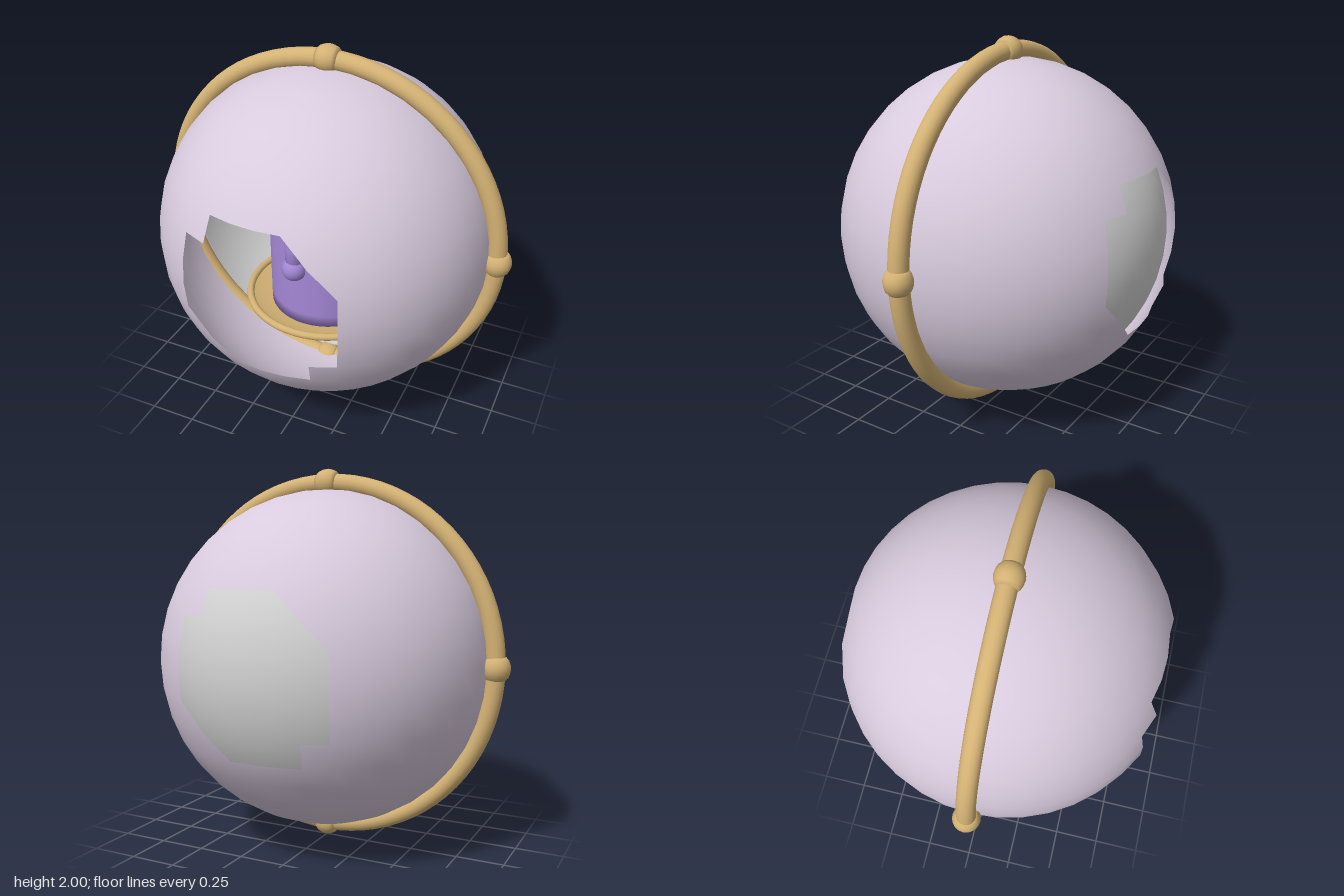
import * as THREE from 'three';

const mat = (name, color, side = THREE.FrontSide) => {
  const m = new THREE.MeshStandardMaterial({ color, side });
  m.name = name;
  return m;
};
const lathe = (points, segments = 40) =>
  new THREE.LatheGeometry(points.map(([r, y]) => new THREE.Vector2(r, y)), segments);

// Sphere with a ragged window left open at the front and at the back
function windowedSphere(radius, windowRadius) {
  const geo = new THREE.SphereGeometry(radius, 40, 20);
  const pos = geo.attributes.position, old = geo.index.array, kept = [];
  for (let i = 0; i < old.length; i += 3) {
    const tri = [old[i], old[i + 1], old[i + 2]];
    const cx = tri.reduce((s, v) => s + pos.getX(v), 0) / 3;
    const cy = tri.reduce((s, v) => s + pos.getY(v), 0) / 3;
    if (Math.hypot(cx, cy) > windowRadius) kept.push(...tri);
  }
  geo.setIndex(kept);
  return geo;
}

export function createModel() {
  const lavender = mat('lavender shell', 0xd8cbde, THREE.DoubleSide);
  const grey = mat('pale grey reflector', 0xd2d2d2, THREE.DoubleSide);
  const gold = mat('warm gold', 0xd4b274);
  const goldOpen = mat('dish gold', 0xd4b274, THREE.DoubleSide);
  const purple = mat('purple wax', 0xa487d6);
  const orange = mat('orange flame', 0xdd8a2e);
  const amber = mat('amber flame core', 0xd6a860);
  const wickMat = mat('wick', 0x9a927f);

  const model = new THREE.Group();
  const body = new THREE.Group();
  body.name = 'lantern';
  body.position.set(0, 1, 0.012);
  model.add(body);
  const add = (name, geo, material, x = 0, y = 0, z = 0, parent = body) => {
    const mesh = new THREE.Mesh(geo, material);
    mesh.name = name;
    mesh.position.set(x, y, z);
    parent.add(mesh);
    return mesh;
  };

  // Hollow shell and the reflector lining its back half
  add('shell', windowedSphere(0.893, 0.41), lavender);
  add('reflector', new THREE.SphereGeometry(0.845, 40, 24, Math.PI, Math.PI), grey);

  // Hoop with four beads
  add('hoop', new THREE.TorusGeometry(0.924, 0.05, 16, 80), gold);
  const beadGeo = lathe([[0, -0.058], [0.048, -0.058], [0.062, -0.042], [0.07, -0.02],
    [0.073, 0], [0.07, 0.02], [0.062, 0.042], [0.048, 0.058], [0, 0.058]], 20);
  for (let i = 0; i < 4; i++) {
    const a = i * Math.PI / 2;
    add('bead', beadGeo, gold, 0.927 * Math.cos(a), 0.927 * Math.sin(a)).rotation.z = a;
  }

  // Dish under the candle
  add('dish', lathe([[0, -0.47], [0.25, -0.47], [0.36, -0.46], [0.44, -0.43]], 48), goldOpen);
  add('dishRim', new THREE.TorusGeometry(0.44, 0.02, 12, 48), gold, 0, -0.432).rotation.x = Math.PI / 2;

  // Candle with softened top edge
  add('candle', lathe([[0, -0.465], [0.317, -0.465], [0.317, -0.4], [0.317, 0.16],
    [0.311, 0.176], [0.297, 0.182], [0, 0.182]], 48), purple);

  // Wax drips: angle from the front, height of the drop, drop radius
  const drips = [[-85, -0.03, 0.042], [-51, 0.045, 0.043], [-10, -0.12, 0.067], [30, 0.005, 0.052],
    [72, -0.07, 0.047], [112, 0.02, 0.045], [150, -0.08, 0.058], [190, 0.03, 0.045], [232, -0.06, 0.052]];
  for (const [deg, y, r] of drips) {
    const drip = new THREE.Group();
    drip.name = 'waxDrip';
    drip.rotation.y = deg * Math.PI / 180;
    body.add(drip);
    const top = 0.195, w = r * 0.74;
    const strand = lathe([[0, y], [w * 0.95, y + 0.01], [w, y + (top - y) * 0.4], [w * 0.88, top - w],
      [w * 0.6, top - w * 0.3], [0, top]], 14);
    add('dripStrand', strand, purple, 0, 0, 0.312, drip);
    add('dripDrop', new THREE.SphereGeometry(r, 16, 12), purple, 0, y, 0.316, drip);
  }

  // Wick and flame
  add('wick', new THREE.CylinderGeometry(0.015, 0.015, 0.1, 10), wickMat, 0, 0.22);
  const flameProfile = [[0, 0], [0.4, 0.05], [0.75, 0.2], [0.95, 0.42], [1, 0.65], [0.94, 0.95],
    [0.75, 1.35], [0.48, 1.75], [0.2, 2.15], [0, 2.4]];
  const flame = (r, h) => lathe(flameProfile.map(([x, y]) => [x * r, y * h]), 28);
  add('flame', flame(0.107, 0.19), orange, 0, 0.198);
  add('flameCore', flame(0.055, 0.075), amber, 0, 0.2, 0.075);

  return model;
}
